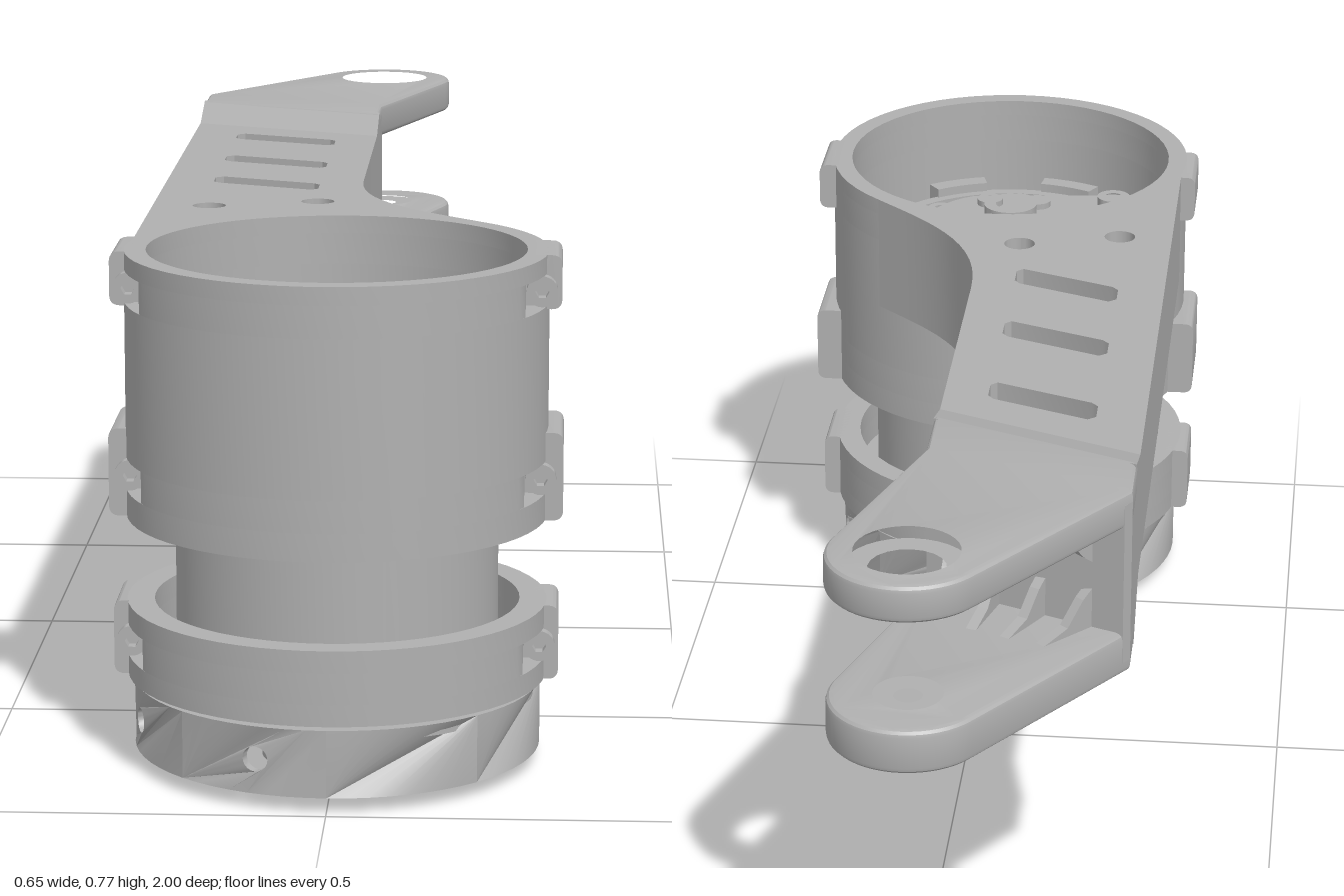
import * as THREE from 'three';
import { toCreasedNormals, mergeGeometries } from 'three/addons/utils/BufferGeometryUtils.js';

const metal = new THREE.MeshStandardMaterial({ color: 0xb0b0b0 });
metal.name = 'machined grey';
const CZ = 0.695; // z of the motor axis
const RAD = Math.PI / 180;

export function createModel() {
  const model = new THREE.Group();
  const add = (name, geo, x = 0, y = 0, z = 0) => {
    const mesh = new THREE.Mesh(geo, metal);
    mesh.name = name;
    mesh.position.set(x, y, z);
    model.add(mesh);
    return mesh;
  };
  const v2 = (pts) => pts.map(([x, z]) => new THREE.Vector2(x, -z));
  // points of an arc in the x-z plane, angles in degrees from +x towards +z
  const arc = (cx, cz, r, a0, a1, n = 24) => Array.from({ length: n + 1 }, (_, i) => {
    const a = (a0 + (a1 - a0) * i / n) * RAD;
    return [cx + r * Math.cos(a), cz + r * Math.sin(a)];
  });
  const circle = (cx, cz, r, n = 32) => arc(cx, cz, r, 0, 360, n).slice(0, n);
  // plan outline [x, z] raised from y0 to y1
  const plate = (pts, y0, y1, holes = [], bevel = 0) => {
    const shape = new THREE.Shape(v2(pts));
    holes.forEach((h) => shape.holes.push(new THREE.Path(v2(h))));
    const geo = new THREE.ExtrudeGeometry(shape, {
      depth: y1 - y0 - 2 * bevel, bevelEnabled: bevel > 0, bevelThickness: bevel,
      bevelSize: bevel, bevelOffset: -bevel, bevelSegments: 3,
    });
    geo.rotateX(-Math.PI / 2).translate(0, y0 + bevel, 0);
    return toCreasedNormals(geo, 0.5);
  };
  const lathe = (pts) => toCreasedNormals(
    new THREE.LatheGeometry(pts.map(([r, y]) => new THREE.Vector2(r, y)), 72), 0.5);
  const disc = (name, x, z, r, y0, y1, hole = 0) =>
    add(name, plate(circle(x, z, r), y0, y1, hole ? [circle(x, z, hole, 20)] : []));

  // Clamp rings: stacked bands, the notched ones give the screw heads room
  const ringOutline = (r, notched) => {
    const pts = [];
    for (let d = -180; d < 180; d += 6) {
      const a = Math.abs(d), s = Math.sign(d);
      let x = r * Math.sin(d * RAD), z = r * Math.cos(d * RAD);
      if (notched && a === 66) [x, z] = [s * 0.268, 0.135];
      if (notched && a === 72) [x, z] = [s * 0.268, 0.045];
      if (notched && a === 78) [x, z] = [s * 0.2965, 0.045];
      pts.push([x, CZ + z]);
    }
    return pts;
  };
  const ring = (name, ri, levels) => {
    for (let i = 0; i < levels.length - 1; i++) {
      add(name, plate(ringOutline(0.301, i % 2 === 1), levels[i], levels[i + 1],
        [circle(0, CZ, ri, 60)]));
    }
  };
  ring('upperHousing', 0.27, [0.36, 0.4, 0.446, 0.67, 0.716, 0.742]);
  ring('lowerClampRing', 0.262, [0.127, 0.158, 0.203, 0.235]);

  // Clamp ears and their socket screws
  const roundRect = (x0, x1, y0, y1, r) => {
    const s = new THREE.Shape();
    s.moveTo(x0, y0);
    s.lineTo(x1 - r, y0);
    s.quadraticCurveTo(x1, y0, x1, y0 + r);
    s.lineTo(x1, y1 - r);
    s.quadraticCurveTo(x1, y1, x1 - r, y1);
    s.lineTo(x0, y1);
    return s;
  };
  const headShape = new THREE.Shape().absarc(0, 0, 0.022, 0, Math.PI * 2);
  headShape.holes.push(new THREE.Path(circle(0, 0, 0.01, 6).map(([x, y]) => new THREE.Vector2(x, y))));
  const headGeo = toCreasedNormals(new THREE.ExtrudeGeometry(headShape,
    { depth: 0.02, bevelEnabled: false, curveSegments: 16 }), 0.5);
  const ears = [[0.665, 0.742, 0.319, 0.693, 0.62], [0.36, 0.487, 0.323, 0.423, 0.59],
    [0.127, 0.235, 0.318, 0.18, 0.62]];
  for (const [y0, y1, x1, sy, z0] of ears) {
    const geo = new THREE.ExtrudeGeometry(roundRect(0.276, x1, y0, y1, 0.015),
      { depth: 0.74 - z0, bevelEnabled: false });
    for (const side of [1, -1]) {
      const ear = add('clampEar', toCreasedNormals(geo, 0.5), 0, 0, side > 0 ? z0 : 0.74);
      if (side < 0) ear.rotation.y = Math.PI;
      add('clampScrew', headGeo, side * 0.291, sy, 0.738);
    }
  }

  // Motor body, inner shelves and neck
  add('motorBody', lathe([[0, 0.1], [0.24, 0.1], [0.24, 0.15], [0.265, 0.15], [0.265, 0.165],
    [0.231, 0.165], [0.231, 0.4], [0.272, 0.4], [0.272, 0.56], [0.245, 0.56], [0.245, 0.585],
    [0.225, 0.585], [0.225, 0.57], [0.15, 0.57], [0.15, 0.6], [0, 0.6]]), 0, 0, CZ);
  // Details inside the open top
  disc('topHub', 0, CZ, 0.115, 0.6, 0.625);
  disc('topCollar', 0, CZ, 0.045, 0.62, 0.655, 0.025);
  add('topLever', plate([...arc(0, CZ, 0.15, -70, 60, 16), ...arc(-0.17, 0.81, 0.045, 60, 235, 12)],
    0.6, 0.615));
  disc('leverScrew', -0.17, 0.81, 0.028, 0.61, 0.63, 0.014);
  for (let i = 0; i < 6; i++) {
    const a = i * 60 * RAD;
    disc('hubScrew', 0.083 * Math.cos(a), CZ + 0.083 * Math.sin(a), 0.022, 0.62, 0.635, 0.011);
  }
  for (let i = 0; i < 8; i++) {
    const a = i * 45 * RAD;
    disc('plateScrew', 0.19 * Math.cos(a), CZ + 0.19 * Math.sin(a), 0.022, 0.565, 0.59, 0.01);
    add('rimBlock', plate([...arc(0, CZ, 0.271, i * 45 + 8, i * 45 + 30, 6),
      ...arc(0, CZ, 0.24, i * 45 + 30, i * 45 + 8, 6)], 0.55, 0.6));
  }

  // Rotor cup: flat wall panels with drilled holes, bent around the axis
  const panels = [];
  const R = 0.279, arcLen = R * 45 * RAD;
  const drilled = { '-45': -20, '-90': -71, 90: 109, 135: 160 };
  for (let deg = -180; deg < 180; deg += 45) {
    const pts = [];
    for (let i = 0; i <= 8; i++) pts.push(new THREE.Vector2(arcLen * i / 8, 0.022));
    for (let i = 8; i >= 0; i--) pts.push(new THREE.Vector2(arcLen * i / 8, 0.119));
    const shape = new THREE.Shape(pts);
    if (deg in drilled) {
      shape.holes.push(new THREE.Path().absarc((drilled[deg] - deg) * RAD * R, 0.072, 0.018, 0, Math.PI * 2));
    }
    const geo = new THREE.ExtrudeGeometry(shape, { depth: 0.013, bevelEnabled: false, curveSegments: 10 });
    const p = geo.attributes.position;
    for (let i = 0; i < p.count; i++) {
      const a = deg * RAD + p.getX(i) / R, r = R + p.getZ(i);
      p.setXYZ(i, r * Math.sin(a), p.getY(i), r * Math.cos(a));
    }
    panels.push(toCreasedNormals(geo, 0.5));
  }
  add('rotorWall', mergeGeometries(panels), 0, 0, CZ);
  disc('rotorPlate', 0, CZ, 0.285, 0.1, 0.119);

  // Output hub under the rotor
  disc('outputBoss', 0, CZ, 0.11, 0.035, 0.105);
  disc('outputCollar', 0, CZ, 0.05, 0.004, 0.04, 0.035);
  for (let i = 0; i < 6; i++) {
    add('outputClaw', plate([...arc(0, CZ, 0.109, i * 60 + 6, i * 60 + 54, 8),
      ...arc(0, CZ, 0.07, i * 60 + 54, i * 60 + 6, 8)], 0, 0.04,
    [circle(0.09 * Math.cos((i * 60 + 30) * RAD), CZ + 0.09 * Math.sin((i * 60 + 30) * RAD), 0.012, 12)]));
  }

  // Arm beam with slanted slots, flaring into the housing
  const slots = [-0.315, -0.08, 0.133].map((z) => [[-0.222, z - 0.05], [-0.21, z - 0.06],
    [-0.065, z], [-0.056, z + 0.012], [-0.056, z + 0.05], [-0.066, z + 0.06],
    [-0.212, z], [-0.222, z - 0.012]]);
  const flare = new THREE.CubicBezierCurve(new THREE.Vector2(0.206, 0.476), new THREE.Vector2(0.12, 0.39),
    new THREE.Vector2(0.01, 0.31), new THREE.Vector2(0.01, 0.11)).getPoints(14).map((p) => [p.x, p.y]);
  const pins = [[-0.21, 0.345], [-0.05, 0.3]];
  add('armBeam', plate([[0.01, -0.36], [-0.295, -0.49], [-0.295, 0.68],
    ...arc(0, CZ, 0.286, 180, 312, 24), ...flare], 0.55, 0.742,
  [...slots, ...pins.map(([x, z]) => circle(x, z, 0.025, 20))]));
  pins.forEach(([x, z]) => disc('armPinPlug', x, z, 0.0255, 0.56, 0.715, 0.01));

  // Tapered step from beam to fork
  const step = new THREE.BoxGeometry(1, 1, 1);
  const sp = step.attributes.position;
  for (let i = 0; i < sp.count; i++) {
    const left = sp.getX(i) < 0, top = sp.getY(i) > 0, back = sp.getZ(i) < 0;
    sp.setXYZ(i, left ? -0.295 : 0.01, top ? (back ? 0.768 : 0.742) : (back ? 0.48 : 0.55),
      (left ? -0.49 : -0.36) - (back ? 0.09 : 0));
  }
  step.computeVertexNormals();
  add('forkStep', step);

  // Fork root and two prongs
  add('forkRoot', plate([[0.01, -0.44], [-0.295, -0.57], [-0.295, -0.665], [-0.285, -0.68],
    [0.01, -0.555]], 0.5, 0.75));
  const prong = [[0.01, -0.437], [-0.295, -0.567], [-0.295, -0.665],
    ...arc(0, -0.885, 0.115, -146, 18.4, 24), [0.01, -0.55]];
  add('upperProng', plate(prong, 0.712, 0.768, [circle(0, -0.885, 0.085)], 0.01));
  disc('upperBushing', 0, -0.885, 0.09, 0.714, 0.742, 0.055);
  add('lowerProng', plate(prong, 0.48, 0.547, [circle(0, -0.885, 0.06)], 0.01));
  disc('lowerBushing', 0, -0.885, 0.065, 0.505, 0.543, 0.021);

  // Gussets in the fork throat, top and bottom
  const gusset = new THREE.Shape([[0, 0], [0.12, 0], [0.05, 0.02], [0.02, 0.055], [0, 0.07]]
    .map(([x, y]) => new THREE.Vector2(x, y)));
  const gussetGeo = new THREE.ExtrudeGeometry(gusset, { depth: 0.016, bevelEnabled: false });
  gussetGeo.translate(0, 0, -0.008);
  for (let i = 0; i < 4; i++) {
    const x = -0.235 + i * 0.07, z = -0.55 + (x - 0.01) * 0.42;
    const heading = Math.atan2(0.885 + z, -x * 0.9);
    const low = add('forkGusset', gussetGeo, x, 0.54, z);
    low.rotation.y = heading;
    const high = add('forkGusset', gussetGeo, x, 0.718, z);
    high.rotation.set(Math.PI, heading, 0, 'YXZ');
  }
  return model;
}
